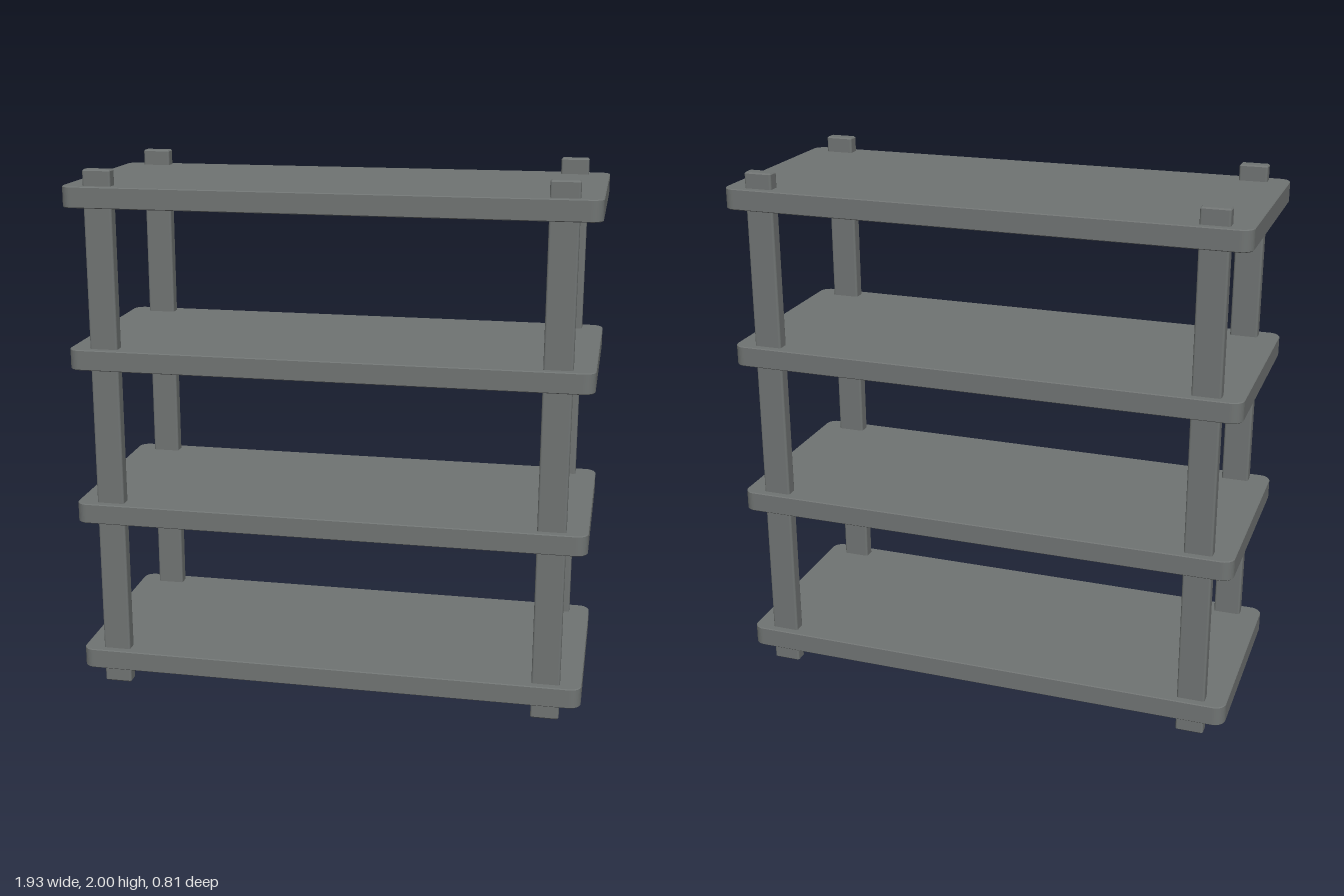
import * as THREE from 'three';

// Upright slab with rounded vertical corners and a fine bevel, base at y = 0
function roundedSlab(width, height, depth, radius, bevel) {
  const w = width / 2 - bevel, d = depth / 2 - bevel, r = radius;
  const s = new THREE.Shape();
  s.moveTo(-w + r, -d);
  s.lineTo(w - r, -d);
  s.absarc(w - r, -d + r, r, -Math.PI / 2, 0);
  s.lineTo(w, d - r);
  s.absarc(w - r, d - r, r, 0, Math.PI / 2);
  s.lineTo(-w + r, d);
  s.absarc(-w + r, d - r, r, Math.PI / 2, Math.PI);
  s.lineTo(-w, -d + r);
  s.absarc(-w + r, -d + r, r, Math.PI, Math.PI * 1.5);
  const geo = new THREE.ExtrudeGeometry(s, {
    depth: height - 2 * bevel, curveSegments: 5,
    bevelEnabled: true, bevelThickness: bevel, bevelSize: bevel, bevelSegments: 1,
  });
  geo.translate(0, 0, bevel);
  geo.rotateX(-Math.PI / 2);
  return geo;
}

export function createModel() {
  const model = new THREE.Group();
  model.name = 'shelfUnit';
  const grey = new THREE.MeshStandardMaterial({ color: 0x707473 });
  grey.name = 'slateGrey';

  // Four equally spaced boards
  const boardGeo = roundedSlab(1.93, 0.077, 0.806, 0.04, 0.003);
  for (let i = 0; i < 4; i++) {
    const board = new THREE.Mesh(boardGeo, grey);
    board.name = `shelf${i + 1}`;
    board.position.y = 0.064 + i * 0.6;
    model.add(board);
  }

  // Four posts passing through the boards
  const postGeo = roundedSlab(0.105, 2, 0.05, 0.003, 0.005);
  for (const [side, x] of [['Left', 0.833], ['Right', -0.833]]) {
    for (const [end, z] of [['front', 0.35], ['back', -0.35]]) {
      const post = new THREE.Mesh(postGeo, grey);
      post.name = `${end}${side}Post`;
      post.position.set(x, 0, z);
      model.add(post);
    }
  }
  return model;
}
